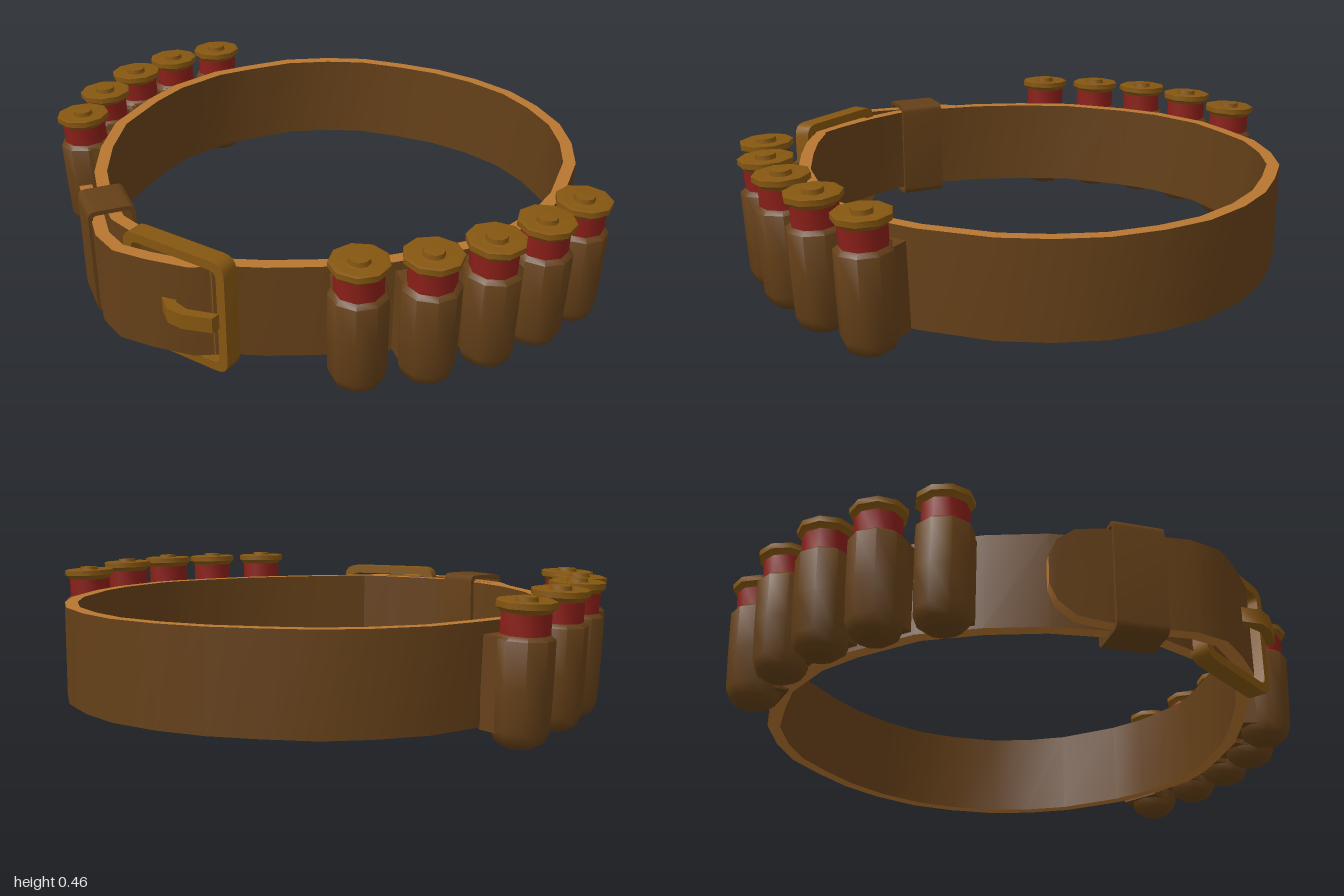
import * as THREE from 'three';
import { toCreasedNormals } from 'three/addons/utils/BufferGeometryUtils.js';

const mat = (color) => new THREE.MeshStandardMaterial({ color, side: THREE.DoubleSide });
const V2 = (p) => new THREE.Vector2(...p);

// Strap along a path of [x, z, heightScale]; returns chosen sides of its rectangular section
function strapGeometry(path, thick, y0, y1, faces, caps) {
  const mid = (y0 + y1) / 2, half = (y1 - y0) / 2;
  const rings = path.map(([x, z, s = 1], i) => {
    const a = path[Math.max(i - 1, 0)], b = path[Math.min(i + 1, path.length - 1)];
    const len = Math.hypot(b[0] - a[0], b[1] - a[1]);
    const ox = -(b[1] - a[1]) / len * thick / 2, oz = (b[0] - a[0]) / len * thick / 2;
    return [[1, -1], [1, 1], [-1, 1], [-1, -1]].map(([o, u]) => [x + o * ox, mid + u * half * s, z + o * oz]);
  });
  const pos = [], index = [];
  for (const f of faces) {
    const base = pos.length / 3;
    rings.forEach((r, i) => {
      pos.push(...r[f], ...r[(f + 1) % 4]);
      if (i) {
        const k = base + 2 * (i - 1);
        index.push(k, k + 2, k + 3, k, k + 3, k + 1);
      }
    });
  }
  if (caps) [rings[0], [...rings[rings.length - 1]].reverse()].forEach((r) => {
    const k = pos.length / 3;
    r.forEach((p) => pos.push(...p));
    index.push(k, k + 1, k + 2, k, k + 2, k + 3);
  });
  const g = new THREE.BufferGeometry();
  g.setAttribute('position', new THREE.Float32BufferAttribute(pos, 3));
  g.setIndex(index);
  g.computeVertexNormals();
  return g;
}

// Rounded rectangle outline
function roundRect(target, w, h, r) {
  const x = w / 2, y = h / 2;
  target.moveTo(-x + r, -y);
  target.lineTo(x - r, -y).quadraticCurveTo(x, -y, x, -y + r);
  target.lineTo(x, y - r).quadraticCurveTo(x, y, x - r, y);
  target.lineTo(-x + r, y).quadraticCurveTo(-x, y, -x, y - r);
  target.lineTo(-x, -y + r).quadraticCurveTo(-x, -y, -x + r, -y);
  return target;
}

// Rounded rectangular frame, centred, extruded along z
function frameGeometry(w, h, wall, depth, r) {
  const shape = roundRect(new THREE.Shape(), w, h, r);
  shape.holes.push(roundRect(new THREE.Path(), w - 2 * wall, h - 2 * wall, r * 0.6));
  const g = new THREE.ExtrudeGeometry(shape, { depth, bevelEnabled: false, curveSegments: 4 });
  return toCreasedNormals(g.translate(0, 0, -depth / 2), 0.6);
}

export function createModel() {
  const model = new THREE.Group();
  model.name = 'cartridgeBelt';
  const leather = mat(0x654018), edge = mat(0xb87630), brass = mat(0x855610), red = mat(0x8a1f18);
  const add = (parent, name, geometry, material) => {
    const m = new THREE.Mesh(geometry, material);
    m.name = name;
    parent.add(m);
    return m;
  };

  // Belt: tongue tip, over the buckle, round the back, to the end behind the buckle
  const path = [
    [-0.44, 0.675, 0.3], [-0.42, 0.687, 0.65], [-0.37, 0.71, 0.92], [-0.29, 0.75], [-0.15, 0.81],
    [-0.05, 0.86], [0.05, 0.873], [0.15, 0.835], [0.27, 0.775], [0.33, 0.7], [0.42, 0.62],
    [0.52, 0.51], [0.64, 0.36], [0.72, 0.2], [0.77, 0.08], [0.79, 0], [0.785, -0.2],
    [0.75, -0.34], [0.65, -0.55], [0.55, -0.67], [0.43, -0.77], [0.28, -0.84], [0.13, -0.88],
    [-0.04, -0.88], [-0.2, -0.85], [-0.35, -0.79], [-0.49, -0.72], [-0.6, -0.62], [-0.7, -0.49],
    [-0.76, -0.33], [-0.8, -0.2], [-0.8, 0], [-0.76, 0.15], [-0.67, 0.36], [-0.54, 0.51],
    [-0.4, 0.63], [-0.25, 0.715], [-0.1, 0.77], [0.05, 0.77], [0.2, 0.75], [0.32, 0.725],
  ];
  add(model, 'beltFaces', strapGeometry(path, 0.042, 0.06, 0.37, [0, 2], false), leather);
  add(model, 'beltEdges', strapGeometry(path, 0.042, 0.06, 0.37, [1, 3], true), edge);

  // Keeper loop
  const keeper = add(model, 'keeperLoop', frameGeometry(0.15, 0.36, 0.014, 0.16, 0.025).rotateY(Math.PI / 2), leather);
  keeper.position.set(-0.185, 0.22, 0.752);
  keeper.rotation.y = -0.38;

  // Buckle frame and prong
  const buckle = add(model, 'buckleFrame', frameGeometry(0.38, 0.38, 0.03, 0.06, 0.045), brass);
  buckle.position.set(0.205, 0.22, 0.768);
  buckle.rotation.y = 0.22;
  const prongShape = new THREE.Shape([
    [0.18, 0.79], [0.2, 0.835], [0.26, 0.86], [0.31, 0.85], [0.39, 0.8],
    [0.385, 0.77], [0.3, 0.82], [0.25, 0.82], [0.21, 0.78],
  ].map(V2));
  const prong = new THREE.ExtrudeGeometry(prongShape, { depth: 0.05, bevelEnabled: false });
  add(model, 'buckleProng', toCreasedNormals(prong.rotateX(Math.PI / 2).translate(0, 0.25, 0), 0.8), brass);

  // Cartridge parts: lathe profiles [radius, y]
  const lathe = (pts) => toCreasedNormals(new THREE.LatheGeometry(pts.map(V2), 9), 0.9);
  const pouchGeo = lathe([[0, 0.02], [0.05, 0.022], [0.075, 0.04], [0.088, 0.075], [0.09, 0.2], [0.09, 0.34], [0.074, 0.352]]);
  const caseGeo = lathe([[0.074, 0.3], [0.074, 0.425]]);
  const rimGeo = lathe([[0.07, 0.405], [0.076, 0.42], [0.09, 0.43], [0.09, 0.448], [0.078, 0.452],
    [0.04, 0.443], [0.034, 0.445], [0.032, 0.46], [0, 0.462]]);
  const backGeo = new THREE.BoxGeometry(0.09, 0.28, 0.15).translate(-0.045, 0.205, 0);

  // Five cartridges per side: x, z, outward angle, height offset
  const slots = [[0.893, -0.27, -0.15, -0.015], [0.905, -0.06, 0, 0], [0.875, 0.14, 0.3, 0.006],
    [0.803, 0.33, 0.45, 0.004], [0.685, 0.505, 0.7, 0.003]];
  for (const side of [1, -1]) {
    slots.forEach(([x, z, angle, dy], i) => {
      const g = new THREE.Group();
      g.name = `${side > 0 ? 'left' : 'right'}Cartridge${i + 1}`;
      add(g, 'pouch', pouchGeo, leather);
      add(g, 'pouchBacking', backGeo, leather);
      add(g, 'shellCase', caseGeo, red);
      add(g, 'shellRim', rimGeo, brass);
      // Lean the top slightly outward
      const lean = 0.04;
      g.position.set(side * (x - 0.45 * lean * Math.cos(angle)), dy, z - 0.45 * lean * Math.sin(angle));
      g.rotation.set(0, side > 0 ? -angle : Math.PI + angle, -lean);
      model.add(g);
    });
  }
  return model;
}
